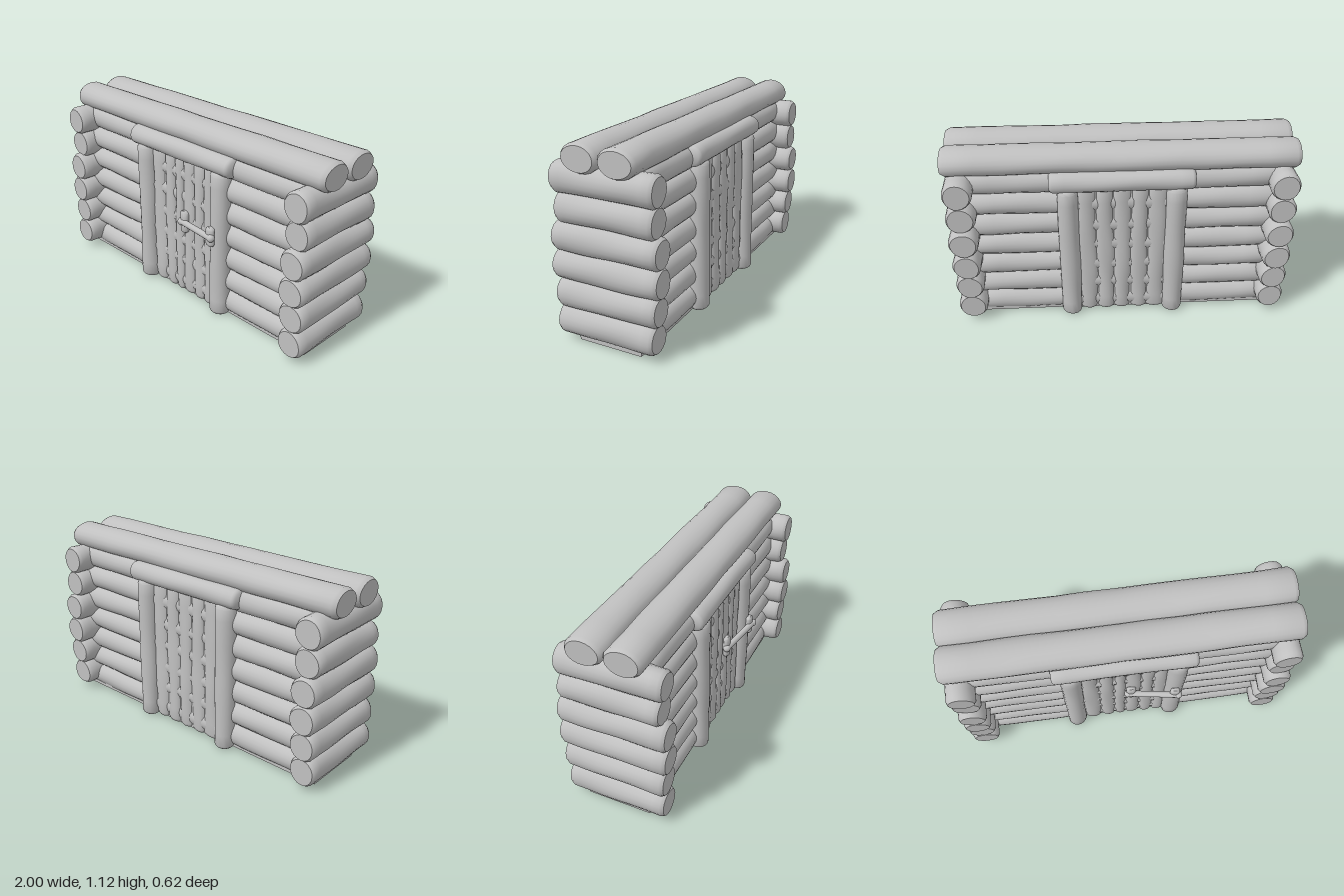
import * as THREE from 'three';
import { toCreasedNormals } from 'three/addons/utils/BufferGeometryUtils.js';

export function createModel() {
  const model = new THREE.Group();
  model.name = 'logCabinWall';
  const wood = new THREE.MeshStandardMaterial({ color: 0xc0c0c0 });
  wood.name = 'wood';

  let seed = 7;
  const rand = () => (seed = (seed * 16807) % 2147483647) / 2147483647;

  // Rough log along y: rounded ends, uneven bark. rx, rz are the half thicknesses.
  function logGeometry(length, rx, rz, { bevel = 0.02, end = 0.75, rough = 0.035, rings = 12 } = {}) {
    const h = length / 2;
    const pts = [[0, -h], [end, -h], [0.93, -h + bevel * 0.5]];
    for (let i = 0; i <= rings; i++) pts.push([1, -h + bevel + (length - 2 * bevel) * i / rings]);
    pts.push([0.93, h - bevel * 0.5], [end, h], [0, h]);
    const g = new THREE.LatheGeometry(pts.map(p => new THREE.Vector2(...p)), 20);
    const a = rand() * 6.28, b = rand() * 6.28, c = rand() * 6.28;
    const pos = g.attributes.position;
    for (let i = 0; i < pos.count; i++) {
      const x = pos.getX(i), y = pos.getY(i), z = pos.getZ(i);
      const t = Math.atan2(z, x);
      const k = 1 + rough * (Math.sin(2 * t + a + y * 7) * 0.5 + Math.sin(3 * t + b - y * 11) * 0.5
        + Math.sin(y * 17 + c) * 0.4);
      pos.setXYZ(i, x * rx * k, y, z * rz * k);
    }
    return toCreasedNormals(g, 0.8);
  }

  function add(name, geometry, x, y, z, parent = model) {
    const mesh = new THREE.Mesh(geometry, wood);
    mesh.name = name;
    mesh.position.set(x, y, z);
    parent.add(mesh);
    return mesh;
  }

  // Solid filling behind the logs
  add('core', new THREE.BoxGeometry(1.8, 0.98, 0.3), 0, 0.52, 0);
  add('floor', new THREE.BoxGeometry(1.88, 0.05, 0.38), 0, 0.035, 0);

  // Stacked end logs: [front z, back z]
  const ends = [[0.295, -0.28], [0.295, -0.295], [0.31, -0.31], [0.31, -0.31], [0.28, -0.29], [0.3, -0.295]];
  for (const side of [-1, 1]) {
    ends.forEach(([front, back], i) => {
      const g = logGeometry(front - back, 0.083, 0.088, { end: 0.86 }).rotateX(Math.PI / 2);
      add('endLog', g, side * 0.91, 0.118 + i * 0.159, (front + back) / 2);
    });
  }

  for (const face of [-1, 1]) {
    // Horizontal wall logs
    for (let i = 0; i < 7; i++) {
      const g = logGeometry(1.8, 0.075, 0.074).rotateZ(Math.PI / 2);
      add('wallLog', g, 0, 0.082 + i * 0.141, face * 0.138);
    }

    // Door frame
    for (const side of [-1, 1])
      add('doorPost', logGeometry(0.9, 0.061, 0.06), side * 0.31, 0.45, face * 0.2);
    const lintel = logGeometry(0.82, 0.06, 0.062).rotateZ(Math.PI / 2);
    add('lintel', lintel, 0, 0.94, face * 0.198);

    // Door planks, given by their edges
    const edges = face > 0 ? [-0.26, -0.15, -0.06, 0.01, 0.1, 0.18, 0.26] : [-0.26, -0.15, -0.05, 0.05, 0.15, 0.26];
    const backing = add('doorBacking', new THREE.BoxGeometry(0.54, 0.88, 0.06), 0, 0.455, face * 0.17);
    backing.name = 'doorBacking';
    for (let i = 0; i + 1 < edges.length; i++) {
      const g = logGeometry(0.88, (edges[i + 1] - edges[i]) / 2 + 0.004, 0.034, { rough: 0.09 });
      add('doorPlank', g, (edges[i] + edges[i + 1]) / 2, 0.455, face * 0.186);
    }

    // Roof beam
    const beam = logGeometry(2, 0.08, 0.108, { bevel: 0.025, end: 0.85, rough: 0.025 }).rotateZ(Math.PI / 2);
    add('roofBeam', beam, 0, 1.042, face * 0.107);
  }

  // Door handle: two brackets and a bar
  const handle = new THREE.Group();
  handle.name = 'doorHandle';
  model.add(handle);
  const small = { bevel: 0.02, end: 0.5, rings: 4 };
  add('handleBracket', logGeometry(0.14, 0.03, 0.02, small), 0.04, 0.505, 0.226, handle);
  add('handleBracket', logGeometry(0.12, 0.03, 0.02, small), 0.3, 0.52, 0.272, handle);
  const bar = new THREE.TubeGeometry(new THREE.LineCurve3(
    new THREE.Vector3(0.02, 0.503, 0.235), new THREE.Vector3(0.32, 0.522, 0.288)), 4, 0.019, 12);
  add('handleBar', bar, 0, 0, 0, handle);
  for (const [x, y, z] of [[0.02, 0.503, 0.235], [0.32, 0.522, 0.288]])
    add('handleKnob', new THREE.SphereGeometry(0.023, 14, 10), x, y, z, handle);

  return model;
}
